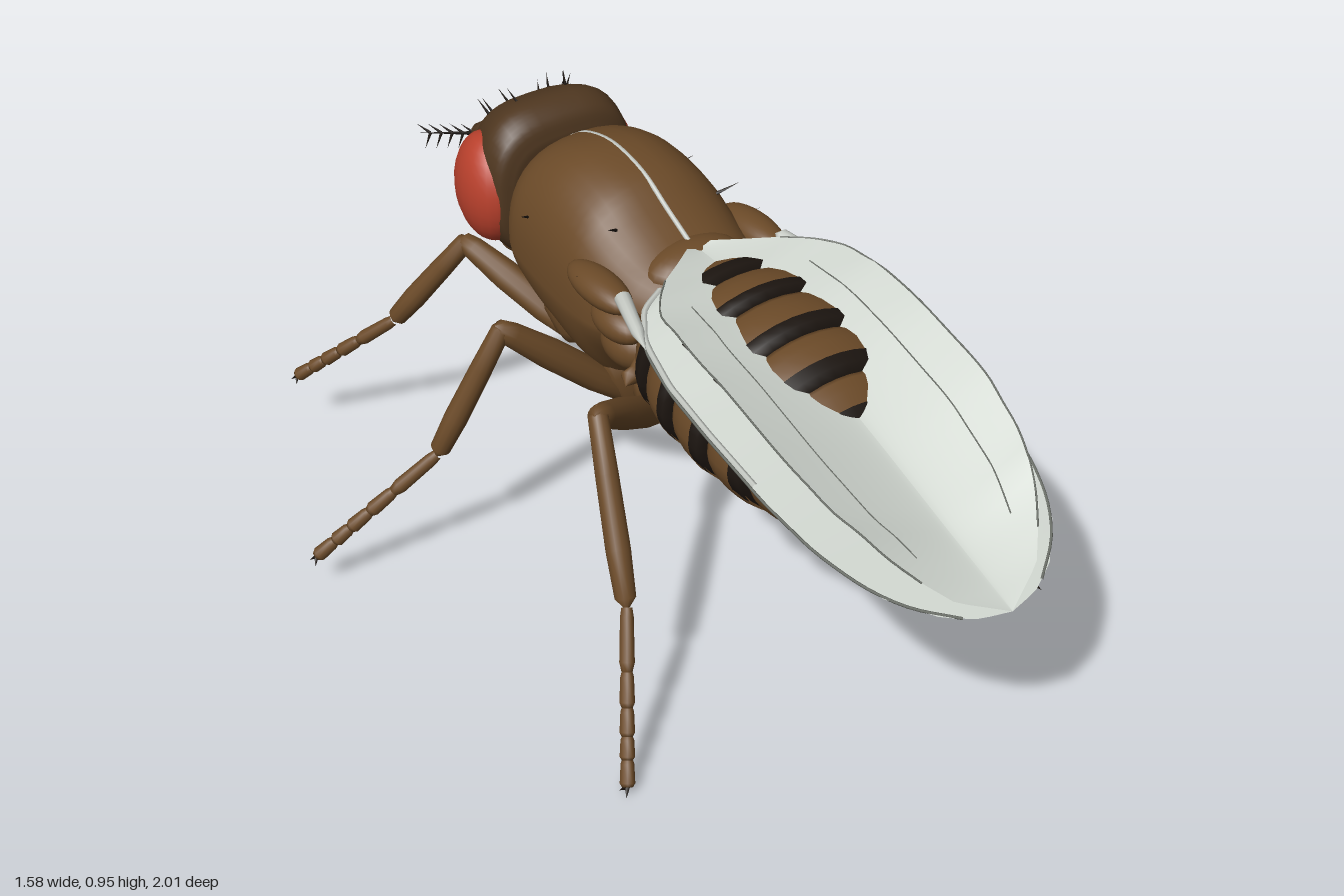
import * as THREE from 'three';

const mat = (color, side = THREE.FrontSide) => new THREE.MeshStandardMaterial({ color, side });
const BROWN = mat(0x6b4a28), DARK = mat(0x4f3720), BLACK = mat(0x1c1510), RED = mat(0xb8402c);
const WING = mat(0xd0d6cf, THREE.DoubleSide), VEIN = mat(0x6d716a), PALE = mat(0xc4c8c2);
const V = (x, y, z) => new THREE.Vector3(x, y, z);

// Interpolates rows of [key, ...values]
function sample(rows, k) {
  let i = 0;
  while (i < rows.length - 2 && k > rows[i + 1][0]) i++;
  const a = rows[i], b = rows[i + 1];
  const t = THREE.MathUtils.clamp((k - a[0]) / (b[0] - a[0]), 0, 1);
  return a.map((v, n) => v + (b[n] - v) * t);
}

// Closed body from cross-sections [z, bottom, top, halfWidth, widestY]; lower < 2 gives a keel
function loft(rings, upper = 2, lower = 2, n = 40) {
  const pos = [], idx = [];
  rings.forEach(([z, bottom, top, w, mid]) => {
    for (let j = 0; j < n; j++) {
      const a = (j / n) * Math.PI * 2, c = Math.cos(a), s = Math.sin(a);
      const e = 2 / (s >= 0 ? upper : lower);
      const h = s >= 0 ? top - mid : mid - bottom;
      pos.push(Math.sign(c) * Math.abs(c) ** e * w, mid + Math.sign(s) * Math.abs(s) ** e * h, z);
    }
  });
  for (let i = 0; i < rings.length - 1; i++) {
    for (let j = 0; j < n; j++) {
      const a = i * n + j, b = i * n + (j + 1) % n;
      idx.push(a, b, a + n, b, b + n, a + n);
    }
  }
  [0, rings.length - 1].forEach((r, end) => {
    const centre = pos.length / 3;
    pos.push(0, rings[r][4], rings[r][0]);
    for (let j = 0; j < n; j++) {
      const a = r * n + j, b = r * n + (j + 1) % n;
      idx.push(centre, end ? a : b, end ? b : a);
    }
  });
  const g = new THREE.BufferGeometry();
  g.setAttribute('position', new THREE.Float32BufferAttribute(pos, 3));
  g.setIndex(idx);
  g.computeVertexNormals();
  return g;
}

// Smoothly resamples a few cross-sections
function smoothRings(rings, count = 28) {
  const key = new THREE.CatmullRomCurve3(rings.map(r => V(r[0], r[1], r[2])));
  const wide = new THREE.CatmullRomCurve3(rings.map(r => V(r[3], r[4], 0)));
  return Array.from({ length: count + 1 }, (_, i) => {
    const p = key.getPoint(i / count), q = wide.getPoint(i / count);
    return [p.x, p.y, p.z, q.x, q.y];
  });
}

// Wing tables along z: reach of the leading side, reach of the trailing side, [middle, trailing, leading] heights
const leadReach = [[-0.04, 0.05], [0, 0.13], [0.04, 0.2], [0.12, 0.25], [0.25, 0.28], [0.4, 0.29], [0.6, 0.285],
  [0.75, 0.262], [0.87, 0.21], [0.95, 0.135], [0.985, 0.07], [1, 0]];
const trailReach = [[-0.04, 0.03], [0, 0.08], [0.06, 0.16], [0.15, 0.23], [0.3, 0.25], [0.6, 0.25], [0.75, 0.225],
  [0.87, 0.17], [0.95, 0.1], [1, 0]];
const heights = [[-0.04, 0.85, 0.86, 0.82], [0.1, 0.85, 0.88, 0.795], [0.25, 0.828, 0.882, 0.775],
  [0.4, 0.785, 0.86, 0.755], [0.6, 0.722, 0.81, 0.71], [0.8, 0.655, 0.73, 0.655], [1, 0.59, 0.59, 0.59]];

// Wing surface: u = 1 at the leading edge, u = -1 at the trailing edge beyond the middle line
function wingPoint(s, u, z) {
  const [, mid, trail, lead] = sample(heights, z), k = Math.abs(u);
  const x = u * sample(u > 0 ? leadReach : trailReach, z)[1];
  const y = u > 0 ? mid + (lead - mid) * k ** 1.3 : mid + (trail - mid) * k ** 1.2;
  return V(s * x, y, z);
}

export function createModel() {
  const root = new THREE.Group();
  const add = (name, geo, m, parent = root) => {
    const mesh = new THREE.Mesh(geo, m);
    mesh.name = name;
    parent.add(mesh);
    return mesh;
  };
  const blob = (name, m, p, r) => {
    const b = add(name, new THREE.SphereGeometry(1, 24, 16), m);
    b.position.set(...p);
    b.scale.set(...r);
    return b;
  };
  // Round limb piece from a to b, profile rows of [along, radius]
  const limb = (name, m, a, b, profile, parent, sides = 12) => {
    const d = b.clone().sub(a), len = d.length();
    const mesh = add(name, new THREE.LatheGeometry(profile.map(([t, r]) => new THREE.Vector2(r, t * len)), sides), m, parent);
    mesh.position.copy(a);
    mesh.quaternion.setFromUnitVectors(V(0, 1, 0), d.normalize());
  };
  const bristle = (a, b, r = 0.005, parent = root) =>
    limb('bristle', BLACK, V(...a), V(...b), [[0, r], [1, 0]], parent, 5);

  // Thorax with a deep keel underneath and a seam along the back
  const thorax = [
    [-0.56, 0.6, 0.82, 0.1, 0.72], [-0.545, 0.53, 0.88, 0.17, 0.7], [-0.48, 0.46, 0.925, 0.205, 0.69],
    [-0.37, 0.41, 0.952, 0.215, 0.68], [-0.25, 0.38, 0.935, 0.215, 0.67], [-0.17, 0.46, 0.89, 0.21, 0.67],
    [-0.08, 0.54, 0.845, 0.19, 0.68], [0, 0.57, 0.82, 0.15, 0.69]];
  add('thorax', loft(smoothRings(thorax), 2.4, 1.55), BROWN);
  const seam = [[-0.54, 0.884], [-0.48, 0.921], [-0.37, 0.948], [-0.25, 0.932], [-0.16, 0.888], [-0.06, 0.84]];
  add('backSeam', new THREE.TubeGeometry(
    new THREE.CatmullRomCurve3(seam.map(([z, y]) => V(0, y, z))), 40, 0.006, 6), PALE);
  blob('scutellum', BROWN, [0, 0.8, -0.06], [0.12, 0.055, 0.075]);

  // Abdomen: overlapping rings with dark rear bands that fade out under the belly
  const abdomen = [
    [-0.08, 0.58, 0.78, 0.1, 0.68], [0, 0.53, 0.84, 0.19, 0.67], [0.1, 0.49, 0.868, 0.24, 0.67],
    [0.2, 0.475, 0.868, 0.25, 0.66], [0.3, 0.47, 0.855, 0.25, 0.65], [0.4, 0.465, 0.825, 0.235, 0.64],
    [0.48, 0.465, 0.775, 0.2, 0.62], [0.55, 0.49, 0.715, 0.14, 0.61], [0.6, 0.56, 0.64, 0.05, 0.6]];
  const body = smoothRings(abdomen, 60);
  const puff = (z, k, below) => {
    const [, bottom, top, w, mid] = sample(body, z);
    return [z, mid + (bottom - mid) * k * below, mid + (top - mid) * k, w * k, mid];
  };
  const cuts = [-0.08, 0.09, 0.2, 0.32, 0.43, 0.52, 0.6];
  for (let i = 0; i < cuts.length - 1; i++) {
    const z0 = cuts[i], d = cuts[i + 1] - z0, tail = i === cuts.length - 2;
    const steps = (list, below) => loft(list.map(([t, k]) => puff(z0 + d * t, k, below)), 2, 1.8);
    add('abdomenRing' + (i + 1),
      steps([[0, 0.94], [0.2, 0.985], [0.45, 1.01], [0.75, 1.02], [1, tail ? 0.9 : 1]], 1), BROWN);
    if (tail) continue;
    add('abdomenBand' + (i + 1), steps([[0.72, 1], [0.77, 1.028], [0.97, 1.025], [1.1, 0.96]], 0.9), BLACK);
    if (i > 0) blob('bellyPlate' + i, BROWN, [0, 0.505, z0 + d / 2], [0.13, 0.04, 0.066]);
  }
  blob('tailTip', BLACK, [0, 0.605, 0.59], [0.04, 0.035, 0.028]);

  // Head and mouthparts
  const head = [
    [-0.82, 0.66, 0.78, 0.06, 0.71], [-0.805, 0.6, 0.835, 0.11, 0.71], [-0.765, 0.56, 0.88, 0.135, 0.71],
    [-0.7, 0.54, 0.925, 0.165, 0.72], [-0.63, 0.54, 0.945, 0.185, 0.73], [-0.58, 0.56, 0.92, 0.18, 0.73],
    [-0.56, 0.61, 0.87, 0.14, 0.73]];
  add('head', loft(smoothRings(head), 3.2, 2.2), DARK);
  blob('neck', BROWN, [0, 0.71, -0.55], [0.08, 0.08, 0.06]);
  limb('mouthTube', BROWN, V(0, 0.6, -0.71), V(0, 0.49, -0.76), [[0, 0.085], [0.4, 0.075], [0.8, 0.06], [1, 0]]);

  for (const s of [1, -1]) {
    blob('mouthPad', BROWN, [s * 0.035, 0.53, -0.755], [0.045, 0.05, 0.045]);
    const eye = blob('eye', RED, [s * 0.142, 0.735, -0.68], [0.078, 0.135, 0.112]);
    eye.rotation.y = s * 0.2;

    // Wings tilt outward-down and cross each other over the back
    const wing = new THREE.Group();
    wing.name = s > 0 ? 'leftWing' : 'rightWing';
    root.add(wing);
    const g = new THREE.PlaneGeometry(2, 1, 32, 48), p = g.attributes.position;
    for (let i = 0; i < p.count; i++) {
      const z = -0.04 + 1.04 * (1 - Math.cos(Math.PI * (0.5 - p.getY(i)))) / 2;
      p.setXYZ(i, ...wingPoint(s, s * p.getX(i), z));
    }
    g.computeVertexNormals();
    add('wingBlade', g, WING, wing);
    for (const [u, z0, z1, r, m] of [[1, 0.02, 0.97, 0.003, VEIN], [-1, 0.05, 0.9, 0.002, VEIN],
      [-0.65, 0.15, 0.85, 0.0015, VEIN], [0.97, 0, 0.55, 0.007, PALE]]) {
      const pts = Array.from({ length: 16 }, (_, i) => wingPoint(s, u, z0 + (z1 - z0) * i / 15));
      add('wingVein', new THREE.TubeGeometry(new THREE.CatmullRomCurve3(pts), 40, r, 6), m, wing);
    }
    // Wing root, hinge plates and balancer
    limb('wingRoot', PALE, V(s * 0.2, 0.815, -0.04), V(s * 0.255, 0.795, 0.14),
      [[0, 0], [0.1, 0.018], [0.7, 0.014], [1, 0]], wing);
    blob('hingePlate', BROWN, [s * 0.2, 0.785, -0.12], [0.045, 0.035, 0.11]);
    blob('hingePlate', BROWN, [s * 0.195, 0.73, -0.06], [0.045, 0.04, 0.08]);
    blob('sidePlate', BROWN, [s * 0.15, 0.65, -0.08], [0.06, 0.06, 0.08]);
    limb('balancer', BROWN, V(s * 0.16, 0.66, -0.02), V(s * 0.23, 0.62, 0.02), [[0, 0.01], [0.5, 0.01], [0.75, 0.022], [1, 0]]);

    // Legs: [name, hip, trochanter, knee, ankle, foot]
    const legs = [
      ['frontLeg', [0.1, 0.58, -0.47], [0.07, 0.43, -0.43], [0.21, 0.6, -0.69], [0.35, 0.36, -0.82], [0.54, 0.17, -0.995]],
      ['middleLeg', [0.1, 0.52, -0.25], [0.05, 0.37, -0.23], [0.355, 0.645, -0.28], [0.505, 0.33, -0.34], [0.78, 0.095, -0.44]],
      ['hindLeg', [0.1, 0.54, -0.08], [0.05, 0.4, -0.11], [0.35, 0.645, 0.1], [0.425, 0.31, 0.31], [0.555, 0.02, 0.5]]];
    for (const [name, ...joints] of legs) {
      const leg = new THREE.Group();
      leg.name = name;
      root.add(leg);
      const [hip, troch, knee, ankle, foot] = joints.map(([x, y, z]) => V(s * x, y, z));
      limb('coxa', BROWN, hip, troch, [[-0.1, 0], [0, 0.04], [0.4, 0.052], [0.8, 0.045], [1, 0.034], [1.15, 0]], leg);
      limb('femur', BROWN, troch, knee, [[-0.04, 0], [0, 0.025], [0.3, 0.036], [0.65, 0.036], [0.93, 0.028], [1.02, 0.02], [1.05, 0]], leg);
      limb('tibia', BROWN, knee, ankle, [[-0.06, 0], [0, 0.022], [0.3, 0.025], [0.7, 0.027], [0.95, 0.023], [1.02, 0]], leg);
      for (let i = 0, ends = [0, 0.36, 0.56, 0.72, 0.85, 1]; i < 5; i++) {
        limb('footSegment', BROWN, ankle.clone().lerp(foot, ends[i]), ankle.clone().lerp(foot, ends[i + 1]),
          [[0, 0.012], [0.15, 0.015], [0.85, 0.017], [1, 0.012], [1.02, 0]], leg, 10);
      }
      for (const k of [-1, 1]) bristle([...foot], [foot.x + s * 0.012, foot.y - 0.015, foot.z + k * 0.014], 0.006, leg);
    }

    // Antennae with feathered tips
    limb('antenna', DARK, V(s * 0.04, 0.8, -0.78), V(s * 0.08, 0.755, -0.855), [[0, 0.02], [0.35, 0.036], [0.8, 0.032], [1, 0]]);
    const a = V(s * 0.065, 0.775, -0.83), b = V(s * 0.21, 0.8, -0.88);
    bristle([...a], [...b], 0.006);
    for (let i = 1; i < 6; i++) {
      const q = a.clone().lerp(b, i / 6);
      for (const k of [1, -1]) bristle([...q], [q.x + s * 0.025, q.y + k * 0.025, q.z - k * 0.018], 0.004);
    }
    // Bristles on the crown and the sides of the thorax
    for (const [x, y, z] of [[0.05, 0.9, -0.72], [0.1, 0.885, -0.73], [0.06, 0.93, -0.66], [0.06, 0.85, -0.78]]) {
      bristle([s * x, y - 0.01, z], [s * (x + 0.015), y + 0.03, z - 0.035]);
    }
    for (const [x, y, z] of [[0.19, 0.8, -0.42], [0.13, 0.88, -0.16], [0.2, 0.78, -0.18]]) {
      bristle([s * x, y, z], [s * (x + 0.04), y + 0.03, z + 0.03], 0.004);
    }
  }
  return root;
}
